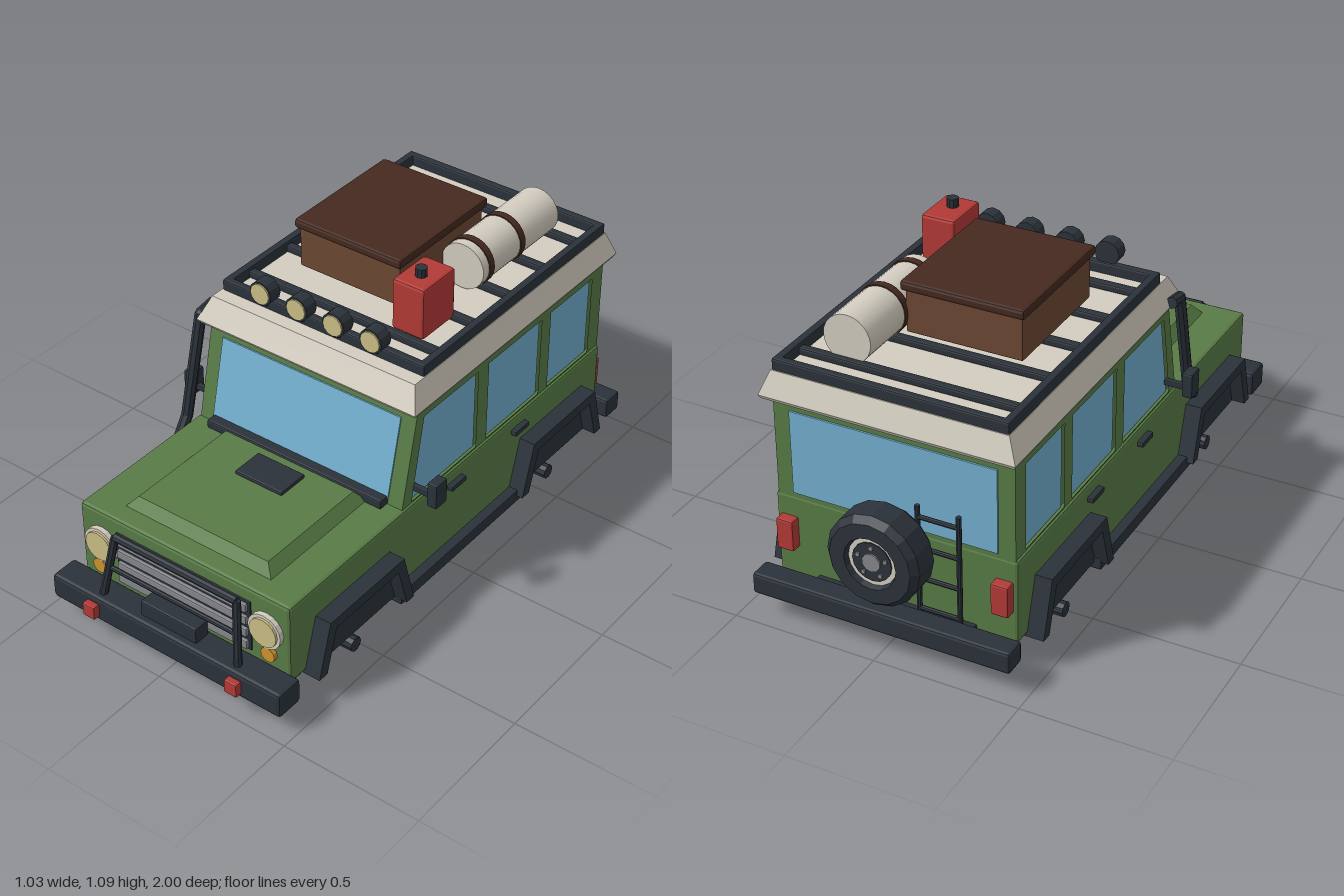
import * as THREE from 'three';
import { RoundedBoxGeometry } from 'three/addons/geometries/RoundedBoxGeometry.js';

const paint = (name, color) => {
  const m = new THREE.MeshStandardMaterial({ color });
  m.name = name;
  return m;
};

export function createModel() {
  const green = paint('bodyGreen', 0x587c46), dark = paint('darkTrim', 0x2b323a);
  const glass = paint('glassBlue', 0x74b0cf), cream = paint('cream', 0xd3cdc0);
  const red = paint('red', 0xb23a36), brown = paint('crateBrown', 0x6b4832);
  const umber = paint('darkBrown', 0x45291f), lens = paint('lensYellow', 0xcbbf86);
  const amber = paint('amber', 0xd0942f), grey = paint('grilleGrey', 0x85868c);

  const car = new THREE.Group();
  car.name = 'offRoadCar';

  const flat = (g) => {
    const n = g.index ? g.toNonIndexed() : g;
    n.computeVertexNormals();
    return n;
  };
  const add = (name, geo, mat) => {
    const m = new THREE.Mesh(geo, mat);
    m.name = name;
    car.add(m);
    return m;
  };
  // chamfered box given by its extents
  const box = (name, mat, [x0, x1], [y0, y1], [z0, z1], r = 0.006) => {
    const g = flat(new RoundedBoxGeometry(x1 - x0, y1 - y0, z1 - z0, 1, r));
    g.translate((x0 + x1) / 2, (y0 + y1) / 2, (z0 + z1) / 2);
    return add(name, g, mat);
  };
  const mirrored = (s, [a, b]) => (s > 0 ? [a, b] : [-b, -a]);
  // box tapering from a bottom to a top rectangle, each [halfWidth, back, front]
  const taper = (name, mat, y0, y1, bottom, top) => {
    const g = new THREE.BoxGeometry(1, 1, 1), p = g.attributes.position;
    for (let i = 0; i < p.count; i++) {
      const up = p.getY(i) > 0, [w, zb, zf] = up ? top : bottom;
      p.setXYZ(i, p.getX(i) * 2 * w, up ? y1 : y0, p.getZ(i) > 0 ? zf : zb);
    }
    return add(name, flat(g), mat);
  };
  // side profile in [z, y] points, extruded across x
  const prism = (name, mat, pts, [x0, x1], holes = []) => {
    const toVec = (list) => list.map(([z, y]) => new THREE.Vector2(-z, y));
    const shape = new THREE.Shape(toVec(pts));
    for (const h of holes) shape.holes.push(new THREE.Path(toVec(h)));
    const g = new THREE.ExtrudeGeometry(shape, { depth: x1 - x0, bevelEnabled: false });
    g.rotateY(Math.PI / 2).translate(x0, 0, 0);
    return add(name, g, mat);
  };
  // cylinder between two points
  const rod = (name, mat, a, b, r, sides = 8, smooth = false) => {
    const A = new THREE.Vector3(...a), B = new THREE.Vector3(...b), d = B.clone().sub(A);
    const g = new THREE.CylinderGeometry(r, r, d.length(), sides);
    const q = new THREE.Quaternion().setFromUnitVectors(new THREE.Vector3(0, 1, 0), d.normalize());
    g.applyQuaternion(q).translate(...A.add(B).multiplyScalar(0.5).toArray());
    return add(name, smooth ? g : flat(g), mat);
  };

  // chassis and axles
  box('chassis', dark, [-0.315, 0.315], [0, 0.085], [-0.85, 0.835], 0.012);
  box('underTray', dark, [-0.4, 0.4], [0.08, 0.113], [-0.84, 0.84]);
  for (const z of [0.55, -0.55]) rod('axle', dark, [-0.43, 0.045, z], [0.43, 0.045, z], 0.026, 10);

  // lower body and bonnet
  box('lowerBody', green, [-0.422, 0.422], [0.11, 0.408], [-0.852, 0.865], 0.012);
  taper('bonnet', green, 0.405, 0.445, [0.295, 0.31, 0.795], [0.26, 0.34, 0.765]);
  box('bonnetVent', dark, [-0.095, 0.095], [0.44, 0.457], [0.375, 0.495]);
  box('cowl', dark, [-0.355, 0.355], [0.405, 0.438], [0.25, 0.325]);

  // cabin core, side walls with window openings, glass
  const slope = (y) => 0.29 - (y - 0.41) * 0.2286;
  const cabin = [[0.29, 0.4], [slope(0.765), 0.765], [-0.85, 0.765], [-0.85, 0.4]];
  prism('cabin', green, cabin, [-0.397, 0.397]);
  const windows = [
    [[0.238, 0.412], [0.178, 0.712], [-0.115, 0.712], [-0.115, 0.412]],
    [[-0.175, 0.412], [-0.175, 0.712], [-0.48, 0.712], [-0.48, 0.412]],
    [[-0.535, 0.412], [-0.535, 0.712], [-0.785, 0.712], [-0.785, 0.412]],
  ];
  for (const s of [1, -1]) {
    prism('cabinSide', green, cabin, mirrored(s, [0.397, 0.412]), windows);
    for (const w of windows) prism('sideWindow', glass, w, mirrored(s, [0.396, 0.402]));
  }
  const glassLow = slope(0.43), glassHigh = slope(0.71);
  prism('windscreen', glass, [[glassLow, 0.43], [glassLow + 0.005, 0.43],
    [glassHigh + 0.005, 0.71], [glassHigh, 0.71]], [-0.357, 0.357]);
  box('rearWindow', glass, [-0.355, 0.355], [0.42, 0.712], [-0.856, -0.848], 0.001);

  // roof
  taper('roofEdge', cream, 0.755, 0.768, [0.428, -0.888, 0.252], [0.435, -0.895, 0.26]);
  taper('roof', cream, 0.768, 0.85, [0.435, -0.895, 0.26], [0.402, -0.868, 0.218]);

  // wheel arches, sills, handles and mirrors
  for (const s of [1, -1]) {
    for (const [f, b] of [[0.8, 0.31], [-0.31, -0.8]]) {
      prism('wheelArch', dark, [[f, 0.105], [f - 0.058, 0.298], [b + 0.055, 0.298], [b, 0.105],
        [b + 0.038, 0.105], [b + 0.085, 0.26], [f - 0.088, 0.26], [f - 0.04, 0.105]],
      mirrored(s, [0.41, 0.48]));
      prism('wheelWell', dark, [[f - 0.02, 0.105], [f - 0.07, 0.28], [b + 0.07, 0.28], [b + 0.02, 0.105]],
        mirrored(s, [0.41, 0.432]));
    }
    box('sill', dark, mirrored(s, [0.38, 0.457]), [0.078, 0.125], [-0.355, 0.345]);
    for (const z of [0.015, -0.35])
      box('doorHandle', dark, mirrored(s, [0.415, 0.443]), [0.347, 0.366], [z - 0.04, z + 0.04], 0.004);
    box('mirrorArm', dark, mirrored(s, [0.405, 0.485]), [0.45, 0.47], [0.21, 0.23], 0.003);
    box('mirror', dark, mirrored(s, [0.477, 0.515]), [0.435, 0.525], [0.19, 0.25]);
  }

  // snorkel along the right windscreen pillar
  const snorkel = [[-0.44, 0.345, 0.375], [-0.44, 0.42, 0.325], [-0.44, 0.775, 0.235], [-0.44, 0.785, 0.17]];
  for (let i = 0; i < 3; i++) {
    rod('snorkelPipe', dark, snorkel[i], snorkel[i + 1], 0.02);
    const joint = new THREE.SphereGeometry(0.02, 8, 6);
    add('snorkelJoint', flat(joint.translate(...snorkel[i])), dark);
  }

  // grille
  box('grilleBack', dark, [-0.272, 0.272], [0.165, 0.36], [0.855, 0.87], 0.003);
  for (let i = 0; i < 4; i++) {
    const y = 0.188 + i * 0.049;
    box('grilleSlat', grey, [-0.262, 0.262], [y - 0.016, y + 0.016], [0.862, 0.882], 0.005);
  }

  // lamps, front and rear
  for (const s of [1, -1]) {
    const x = s * 0.333;
    rod('headlightRing', cream, [x, 0.285, 0.855], [x, 0.285, 0.882], 0.064, 16);
    rod('headlight', lens, [x, 0.285, 0.86], [x, 0.285, 0.89], 0.053, 16);
    rod('indicator', amber, [s * 0.343, 0.195, 0.855], [s * 0.343, 0.195, 0.88], 0.027, 12);
    box('bumperLamp', red, mirrored(s, [0.265, 0.315]), [0.088, 0.138], [0.96, 1]);
    box('tailLamp', red, mirrored(s, [0.345, 0.405]), [0.22, 0.33], [-0.888, -0.845]);
  }

  // bumpers, winch and bull bar
  box('frontBumper', dark, [-0.465, 0.465], [0.07, 0.16], [0.872, 0.975], 0.012);
  box('bumperMount', dark, [-0.28, 0.28], [0.075, 0.13], [0.82, 0.9]);
  box('winch', dark, [-0.113, 0.113], [0.15, 0.215], [0.885, 0.945]);
  const barTop = [0.245, 0.375, 0.9], barFoot = [0.275, 0.15, 0.94];
  const flip = ([x, y, z]) => [-x, y, z];
  const barMid = barTop.map((v, i) => (v + barFoot[i]) / 2);
  rod('bullBarTop', dark, flip(barTop), barTop, 0.014);
  rod('bullBarMiddle', dark, flip(barMid), barMid, 0.009);
  rod('bullBarPost', dark, barFoot, barTop, 0.014);
  rod('bullBarPost', dark, flip(barFoot), flip(barTop), 0.014);
  box('rearBumper', dark, [-0.452, 0.452], [0.083, 0.157], [-0.968, -0.887], 0.01);
  box('rearBumperMount', dark, [-0.28, 0.28], [0.085, 0.135], [-0.9, -0.84]);

  // spare wheel
  const profile = [[0.08, -0.065], [0.14, -0.065], [0.16, -0.042], [0.16, 0.042], [0.14, 0.065],
    [0.09, 0.065], [0.082, 0.045]].map(([r, y]) => new THREE.Vector2(r, y));
  const tyre = new THREE.LatheGeometry(profile, 16).rotateX(-Math.PI / 2).translate(0, 0.357, -0.935);
  add('spareTyre', flat(tyre), dark);
  rod('spareRim', cream, [0, 0.357, -0.85], [0, 0.357, -0.983], 0.086, 16);
  rod('spareDish', dark, [0, 0.357, -0.95], [0, 0.357, -0.987], 0.068, 16);
  rod('spareHub', grey, [0, 0.357, -0.95], [0, 0.357, -0.993], 0.032, 10);
  for (let i = 0; i < 5; i++) {
    const a = (i / 5) * Math.PI * 2, x = Math.sin(a) * 0.05, y = 0.357 + Math.cos(a) * 0.05;
    rod('wheelNut', grey, [x, y, -0.97], [x, y, -0.992], 0.008, 6);
  }

  // rear ladder
  for (const x of [-0.1, -0.24]) rod('ladderRail', dark, [x, 0.06, -0.882], [x, 0.53, -0.882], 0.009);
  for (const y of [0.16, 0.27, 0.38, 0.49])
    rod('ladderRung', dark, [-0.24, y, -0.882], [-0.1, y, -0.882], 0.008);

  // roof rack
  for (const s of [1, -1]) box('rackSide', dark, mirrored(s, [0.372, 0.4]), [0.845, 0.888], [-0.865, 0.168]);
  for (const z of [-0.851, 0.154]) box('rackEnd', dark, [-0.398, 0.398], [0.845, 0.888], [z - 0.014, z + 0.014]);
  for (const z of [0.05, -0.145, -0.345, -0.545, -0.74])
    box('rackBar', dark, [-0.38, 0.38], [0.85, 0.875], [z - 0.015, z + 0.015]);

  // roof lamps
  for (const x of [-0.218, -0.073, 0.072, 0.217]) {
    rod('roofLampStem', dark, [x, 0.865, 0.17], [x, 0.9, 0.17], 0.01);
    rod('roofLampBody', dark, [x, 0.92, 0.148], [x, 0.92, 0.197], 0.043, 12);
    rod('roofLampLens', lens, [x, 0.92, 0.18], [x, 0.92, 0.202], 0.037, 12);
  }

  // luggage
  box('crate', brown, [-0.264, 0.136], [0.875, 1.025], [-0.52, -0.065]);
  box('crateLid', umber, [-0.276, 0.147], [1.022, 1.056], [-0.536, -0.05], 0.01);
  box('fuelCan', red, [0.185, 0.307], [0.875, 1.06], [-0.125, 0.045], 0.01);
  rod('fuelCanCap', dark, [0.246, 1.05, -0.025], [0.246, 1.09, -0.025], 0.02, 10);
  rod('bedroll', cream, [0.213, 0.937, -0.735], [0.213, 0.937, -0.3], 0.082, 24, true);
  for (const z of [-0.522, -0.345])
    rod('bedrollStrap', umber, [0.213, 0.937, z - 0.013], [0.213, 0.937, z + 0.013], 0.086, 24, true);

  return car;
}
